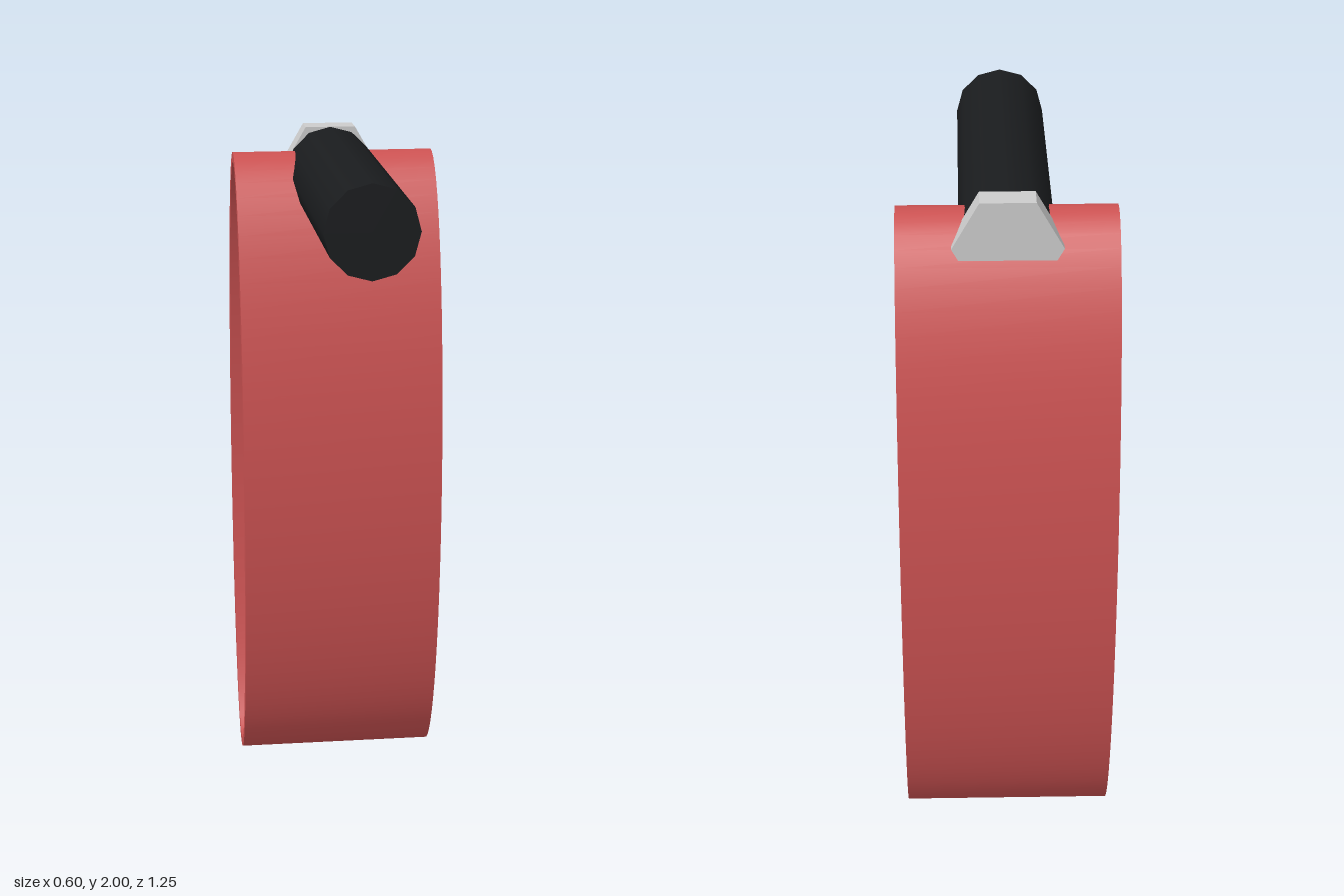
import * as THREE from 'three';
import { toCreasedNormals } from 'three/addons/utils/BufferGeometryUtils.js';

function addPart(group, name, geometry, options) {
  const mesh = new THREE.Mesh(geometry, new THREE.MeshStandardMaterial(options));
  mesh.name = name;
  group.add(mesh);
}

export function createModel() {
  const group = new THREE.Group();
  const axisY = 1.87; // height of the rod and nut axis

  // Tall oval band, open on its left and right sides
  const width = 0.6;
  const oval = new THREE.Shape().absellipse(0, 0, 0.302, 0.968, 0, Math.PI * 2);
  oval.holes.push(new THREE.Path().absellipse(0, 0, 0.265, 0.938, 0, Math.PI * 2));
  const extruded = new THREE.ExtrudeGeometry(oval, { depth: width, bevelEnabled: false, curveSegments: 32 });
  extruded.translate(0, 0, -width / 2).rotateY(Math.PI / 2).translate(0, 0.968, -0.323);
  addPart(group, 'band', toCreasedNormals(extruded, 0.6), { color: 0xcc5252 });

  // Twelve-sided rod passing through the top of the band
  const rod = new THREE.CylinderGeometry(0.13, 0.13, 0.995, 12);
  rod.rotateX(Math.PI / 2).translate(0, axisY, 0.1275);
  addPart(group, 'rod', rod, { color: 0x1a1c1e });

  // Hexagonal nut at the back end of the rod
  const nut = new THREE.CylinderGeometry(0.15, 0.15, 0.083, 6, 1, false, Math.PI / 2);
  nut.rotateX(Math.PI / 2).translate(0, axisY, -0.4135);
  addPart(group, 'nut', nut, { color: 0xcccccc, flatShading: true });

  return group;
}
